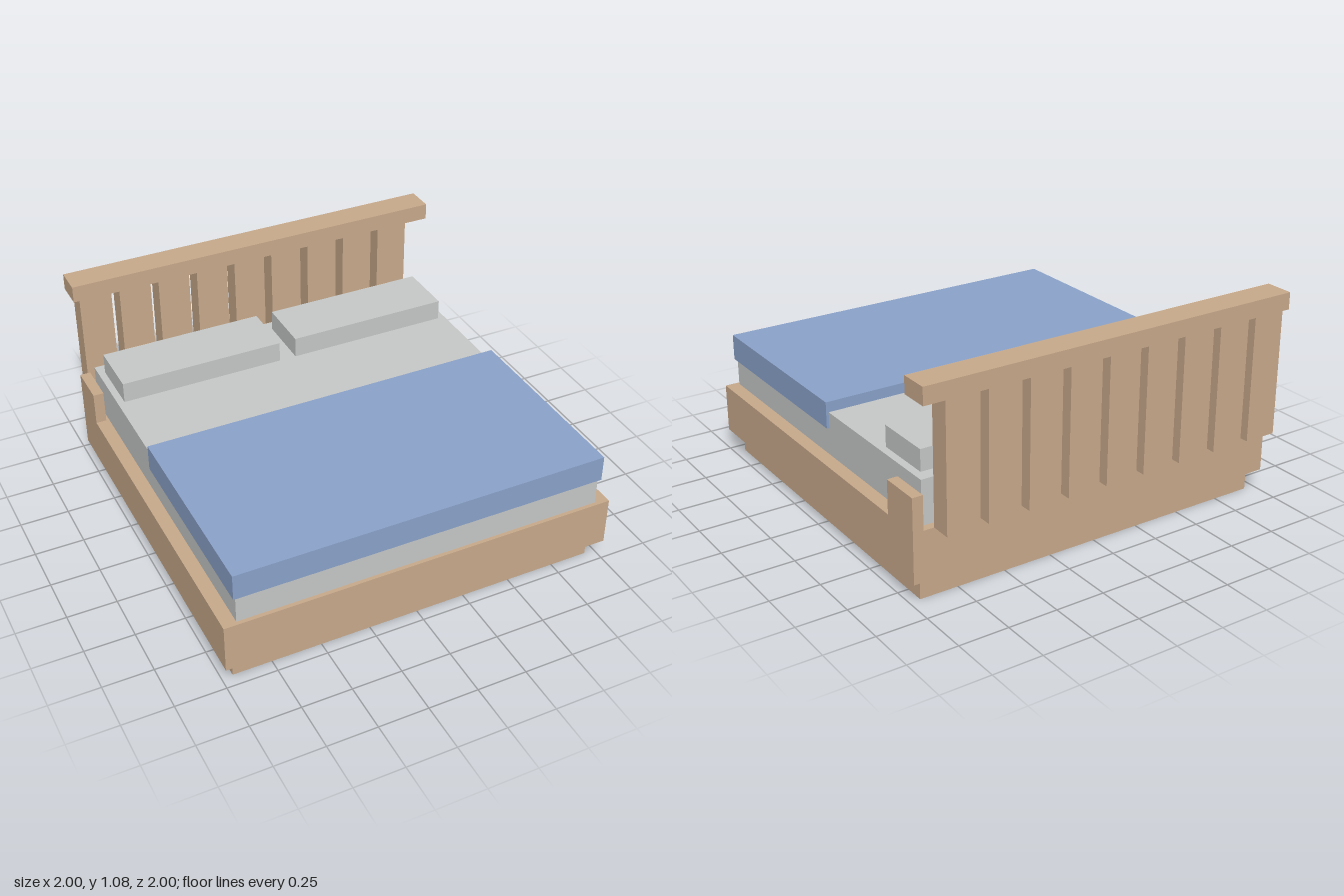
import * as THREE from 'three';

export function createModel() {
  const bed = new THREE.Group();
  bed.name = 'bed';

  const mat = (name, color) => {
    const m = new THREE.MeshStandardMaterial({ color });
    m.name = name;
    return m;
  };
  const wood = mat('wood', 0xc8a98b);
  const linen = mat('linen', 0xc6c8c7);
  const blue = mat('blue blanket', 0x8aa2ca);

  // Box from its minimum and maximum on each axis
  const box = (name, material, [x0, x1], [y0, y1], [z0, z1], parent = bed) => {
    const mesh = new THREE.Mesh(new THREE.BoxGeometry(x1 - x0, y1 - y0, z1 - z0), material);
    mesh.position.set((x0 + x1) / 2, (y0 + y1) / 2, (z0 + z1) / 2);
    mesh.name = name;
    parent.add(mesh);
    return mesh;
  };

  // Recessed plinth and the wooden frame above it
  box('plinth', wood, [-0.945, 0.945], [0, 0.11], [-0.85, 0.935]);
  box('frame', wood, [-1, 1], [0.11, 0.36], [-0.895, 1]);

  // Raised side posts at the head end
  box('rightPost', wood, [-1, -0.947], [0.36, 0.53], [-0.895, -0.685]);
  box('leftPost', wood, [0.947, 1], [0.36, 0.53], [-0.895, -0.685]);

  // Headboard: nine slats under a top rail
  const headboard = new THREE.Group();
  headboard.name = 'headboard';
  bed.add(headboard);
  for (let i = 0; i < 9; i++) {
    const x = -0.96 + i * 0.2108;
    box('slat', wood, [x, x + 0.168], [0.36, 0.99], [-1, -0.895], headboard);
  }
  box('topRail', wood, [-1, 1], [0.99, 1.075], [-1, -0.855], headboard);

  // Bedding
  box('mattress', linen, [-0.932, 0.932], [0.36, 0.58], [-0.855, 0.98]);
  box('rightPillow', linen, [-0.897, -0.046], [0.58, 0.687], [-0.79, -0.495]);
  box('leftPillow', linen, [0.043, 0.894], [0.58, 0.687], [-0.79, -0.495]);
  box('blanket', blue, [-0.945, 0.945], [0.5, 0.633], [-0.03, 0.99]);

  return bed;
}
